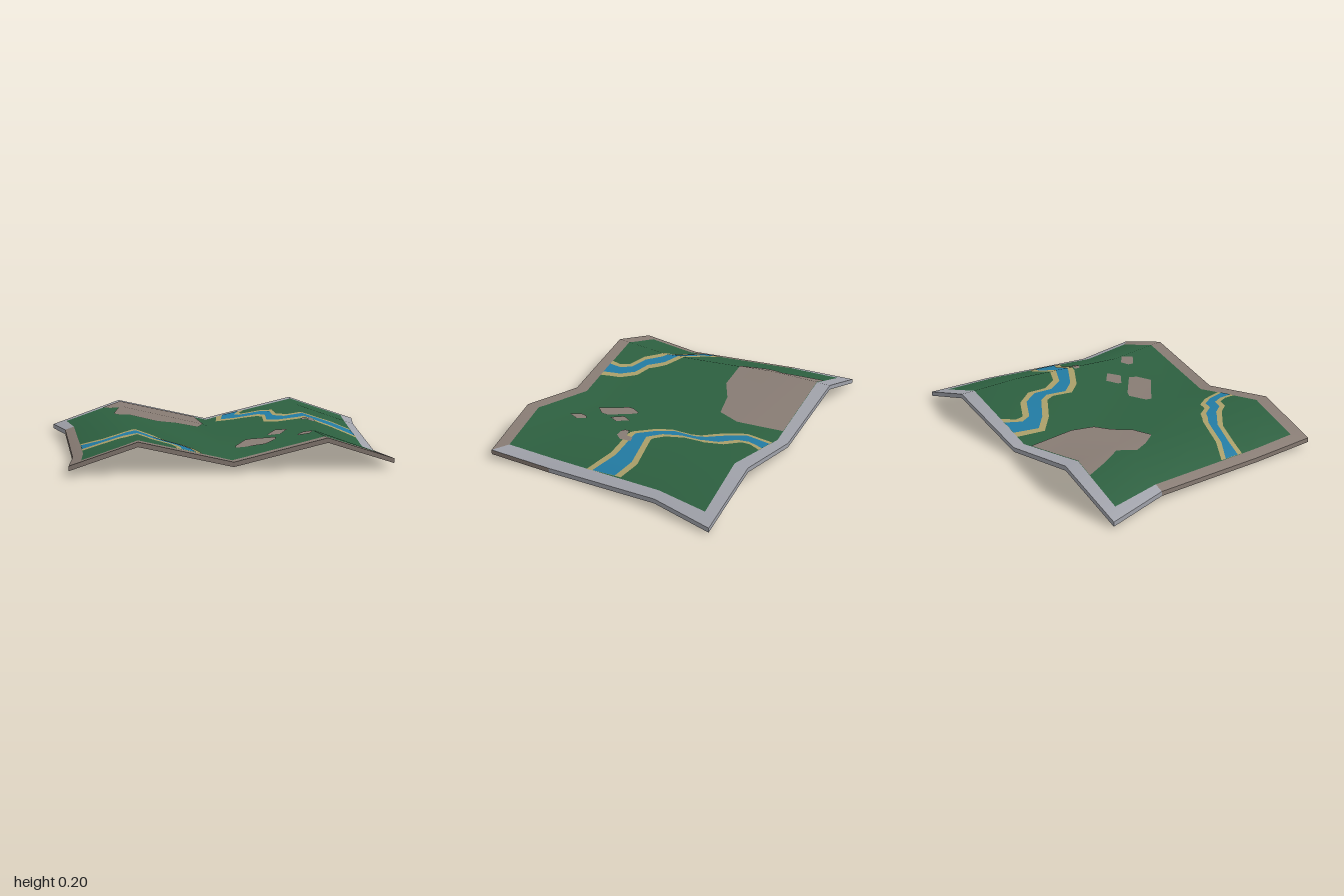
import * as THREE from 'three';

const THICK = 0.028;
const paint = (name, color) => Object.assign(new THREE.MeshStandardMaterial({ color }), { name });

// Fold nodes per row (back to front): z, ridge z, ridge x, edge x, then heights at edge, ridge, valley
const ROWS = [
  [-0.735, -0.75, 0.57, 1.0, 0.036, 0.186, 0.055],
  [-0.36, -0.36, 0.55, 0.925, 0.062, 0.197, 0.065],
  [0.36, 0.36, 0.515, 0.885, 0.028, 0.16, 0.032],
  [0.742, 0.742, 0.53, 0.91, 0.056, 0.181, 0.056],
].map(([z, rz, rx, ex, he, hr, hv]) => [
  new THREE.Vector3(-ex, he, z), new THREE.Vector3(-rx, hr, rz), new THREE.Vector3(0, hv, z),
  new THREE.Vector3(rx, hr, rz), new THREE.Vector3(ex, he, z),
]);
const NODES = ROWS.flat();

// The sheet's panels as triangles of node indices, facing up
const PANELS = [];
for (let r = 0; r < 3; r++) {
  for (let c = 0; c < 4; c++) {
    const a = r * 5 + c;
    PANELS.push({ r, c, tri: [a, a + 5, a + 6] }, { r, c, tri: [a, a + 6, a + 1] });
  }
}

function indexed(points, index) {
  const g = new THREE.BufferGeometry().setFromPoints(points);
  g.setIndex(index);
  g.computeVertexNormals();
  return g;
}

const sheetNormals = indexed(NODES, PANELS.flatMap((p) => p.tri)).attributes.normal;
const NORMALS = NODES.map((_, i) => new THREE.Vector3().fromBufferAttribute(sheetNormals, i));

// Positive when s lies inside the edge p-q of an upward facing panel
const side = (p, q, s) => (q[1] - p[1]) * (s[0] - p[0]) - (q[0] - p[0]) * (s[1] - p[1]);

function clip(poly, tri) {
  for (let e = 0; e < 3; e++) {
    const p = tri[e], q = tri[(e + 1) % 3], out = [];
    poly.forEach((s, i) => {
      const t = poly[(i + 1) % poly.length];
      const ds = side(p, q, s), dt = side(p, q, t);
      if (ds >= 0) out.push(s);
      if (ds * dt < 0) {
        const k = ds / (ds - dt);
        out.push([s[0] + (t[0] - s[0]) * k, s[1] + (t[1] - s[1]) * k]);
      }
    });
    poly = out;
  }
  return poly;
}

// Lays flat x,z outlines onto the folded sheet, cutting them along the creases
function drape(outlines, lift = 0) {
  const pos = [], nor = [];
  for (const outline of outlines) {
    const flat = outline.map(([x, z]) => new THREE.Vector2(x, z));
    for (const face of THREE.ShapeUtils.triangulateShape(flat, [])) {
      let t = face.map((i) => outline[i]);
      if (side(t[0], t[1], t[2]) < 0) t = t.reverse();
      for (const { tri } of PANELS) {
        const cell = tri.map((i) => [NODES[i].x, NODES[i].z]);
        const area = side(cell[0], cell[1], cell[2]);
        const poly = clip(t, cell);
        for (let i = 1; i + 1 < poly.length; i++) {
          for (const s of [poly[0], poly[i], poly[i + 1]]) {
            const w = [0, 1, 2].map((k) => side(cell[(k + 1) % 3], cell[(k + 2) % 3], s) / area);
            const n = new THREE.Vector3();
            let y = lift;
            tri.forEach((id, k) => { y += NODES[id].y * w[k]; n.addScaledVector(NORMALS[id], w[k]); });
            pos.push(s[0], y, s[1]);
            nor.push(...n.normalize().toArray());
          }
        }
      }
    }
  }
  const g = new THREE.BufferGeometry();
  g.setAttribute('position', new THREE.Float32BufferAttribute(pos, 3));
  g.setAttribute('normal', new THREE.Float32BufferAttribute(nor, 3));
  return g;
}

// Strip of quads between pairs of bank points [xL, zL, xR, zR], optionally widened
function strip(pairs, widen = 0) {
  const banks = pairs.map(([a, b, c, d]) => {
    const k = widen / Math.hypot(c - a, d - b), dx = (c - a) * k, dz = (d - b) * k;
    return [[a - dx, b - dz], [c + dx, d + dz]];
  });
  return banks.slice(1).map((q, i) => [banks[i][0], banks[i][1], q[1], q[0]]);
}

// Underside panels chosen by a test
function underside(test) {
  const below = NODES.map((p) => new THREE.Vector3(p.x, p.y - THICK, p.z));
  return indexed(below, PANELS.filter(test).flatMap(({ tri }) => [tri[0], tri[2], tri[1]]));
}

// Edge walls along runs of node indices, listed so that outside is to the right of travel
function walls(runs) {
  const pts = [], index = [];
  for (const run of runs) {
    for (let i = 0; i + 1 < run.length; i++) {
      const a = NODES[run[i]], b = NODES[run[i + 1]], n = pts.length;
      const drop = (p) => new THREE.Vector3(p.x, p.y - THICK, p.z);
      pts.push(a, b, drop(b), drop(a));
      index.push(n, n + 3, n + 2, n, n + 2, n + 1);
    }
  }
  return indexed(pts, index);
}

export function createModel() {
  const grass = paint('grass green', 0x2d6040);
  const stone = paint('light grey', 0xa0a2aa);
  const earth = paint('earth brown', 0x887c74);
  const water = paint('water blue', 0x227ba3);
  const sand = paint('sand', 0xaa9f69);

  const model = new THREE.Group();
  model.name = 'foldedTerrainMap';
  const add = (name, geometry, material) => {
    const mesh = new THREE.Mesh(geometry, material);
    mesh.name = name;
    model.add(mesh);
  };

  // Grass field inside the border
  const inner = [
    [-0.915, -0.665, 0.91, -0.665], [-0.87, -0.36, 0.865, -0.36],
    [-0.825, 0.36, 0.815, 0.36], [-0.84, 0.667, 0.835, 0.667],
  ];
  add('grassField', drape(strip(inner)), grass);

  // Border: grey on the back and right, brown on the front and left
  const L = inner.map((p) => [p[0], p[1]]), R = inner.map((p) => [p[2], p[3]]);
  add('greyBorder', drape([
    [[-1.2, -0.9], [1.2, -0.9], [1.2, -0.665], [-1.2, -0.665]],
    [L[0], L[1], [-1.2, -0.36], [-1.2, -0.665]],
    [R[0], R[1], R[2], R[3], [1.135, 0.967], [1.2, 0.967], [1.2, -0.665]],
  ]), stone);
  add('brownBorder', drape([
    [L[1], L[2], L[3], [-1.2, 0.667], [-1.2, -0.36]],
    [[-1.2, 0.667], R[3], [1.135, 0.967], [-1.2, 0.967]],
  ]), earth);

  // Edges and underside, split along the folds
  add('greyEdge', walls([[14, 9, 4, 3, 2, 1, 0, 5]]), stone);
  add('brownEdge', walls([[5, 10, 15, 16, 17, 18, 19, 14]]), earth);
  const isGrey = ({ r, c }) => (c > 1 ? r < 2 : r < 1);
  add('greyUnderside', underside(isGrey), stone);
  add('brownUnderside', underside((p) => !isGrey(p)), earth);

  // Rivers with sandy banks
  const rivers = {
    backRiver: [
      [0.11, -0.665, 0.215, -0.665], [0.08, -0.51, 0.175, -0.565], [0.165, -0.43, 0.2, -0.5],
      [0.3, -0.35, 0.325, -0.44], [0.335, -0.29, 0.375, -0.35], [0.325, -0.155, 0.375, -0.225],
      [0.39, -0.075, 0.43, -0.13], [0.51, -0.01, 0.54, -0.085], [0.7, 0.02, 0.725, -0.1],
      [0.835, 0.095, 0.838, -0.055],
    ],
    frontRiver: [
      [-0.83, 0.265, -0.835, 0.17], [-0.73, 0.28, -0.715, 0.235], [-0.59, 0.31, -0.56, 0.265],
      [-0.48, 0.39, -0.44, 0.345], [-0.41, 0.475, -0.37, 0.435], [-0.315, 0.52, -0.28, 0.475],
      [-0.28, 0.59, -0.225, 0.555], [-0.285, 0.667, -0.2, 0.667],
    ],
  };
  for (const [name, banks] of Object.entries(rivers)) {
    add(name + 'Banks', drape(strip(banks, name === 'backRiver' ? 0.04 : 0.033), 0.0015), sand);
    add(name, drape(strip(banks), 0.003), water);
  }

  // Bare ground and rocks
  add('bareGround', drape([[
    [-0.68, -0.665], [-0.64, -0.55], [-0.585, -0.42], [-0.62, -0.3], [-0.59, -0.22], [-0.545, -0.145],
    [-0.36, -0.14], [-0.24, -0.21], [-0.1, -0.235], [-0.05, -0.37], [-0.065, -0.52], [-0.08, -0.665],
  ]], 0.003), earth);
  add('rocks', drape([
    [[0.14, 0.2], [0.17, 0.21], [0.305, 0.32], [0.295, 0.37], [0.225, 0.435], [0.065, 0.32], [0.07, 0.28]],
    [[0.325, 0.155], [0.39, 0.21], [0.34, 0.28], [0.27, 0.235], [0.275, 0.21]],
    [[0.46, 0.37], [0.51, 0.41], [0.475, 0.475], [0.415, 0.435], [0.42, 0.4]],
    [[0.505, 0.04], [0.555, 0.035], [0.565, -0.01], [0.59, -0.01], [0.59, 0.06], [0.565, 0.095], [0.505, 0.075]],
  ], 0.0045), earth);

  return model;
}
